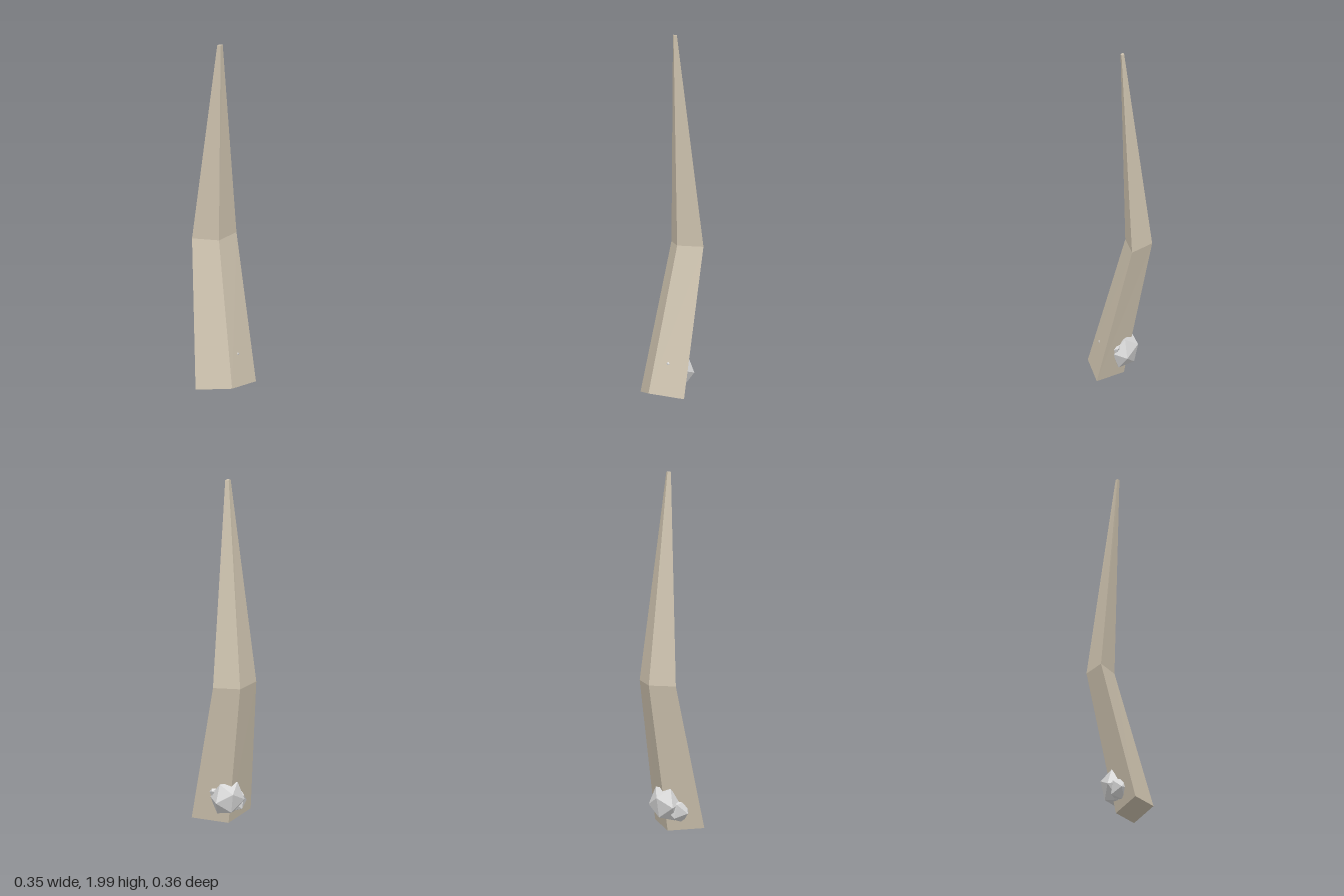
import * as THREE from 'three';

export function createModel() {
  const model = new THREE.Group();
  const ivory = new THREE.MeshStandardMaterial({ color: 0xcdc2ae, flatShading: true });
  ivory.name = 'ivory';
  const stone = new THREE.MeshStandardMaterial({ color: 0xd6d6d6, flatShading: true });
  stone.name = 'stone';

  // Diamond cross-sections of the bent spike: half width, then [y, z] of front, side and back corners
  const sections = [
    { w: 0.174, front: [0.05, 0.181], side: [0.028, 0.079], back: [0.006, -0.023] },
    { w: 0.128, front: [0.84, -0.031], side: [0.84, -0.107], back: [0.84, -0.183] },
    { w: 0.016, front: [2, -0.004], side: [2, -0.0145], back: [2, -0.025] },
  ];
  const points = [];
  for (const { w, front, side, back } of sections) {
    points.push(0, ...front, w, ...side, 0, ...back, -w, ...side);
  }
  const faces = [0, 2, 1, 0, 3, 2]; // bottom cap
  for (let ring = 0; ring < sections.length - 1; ring++) {
    for (let i = 0; i < 4; i++) {
      const a = ring * 4 + i;
      const b = ring * 4 + ((i + 1) % 4);
      faces.push(a, b, b + 4, a, b + 4, a + 4);
    }
  }
  faces.push(8, 9, 10, 8, 10, 11); // tip cap
  const indexed = new THREE.BufferGeometry();
  indexed.setAttribute('position', new THREE.Float32BufferAttribute(points, 3));
  indexed.setIndex(faces);
  const geometry = indexed.toNonIndexed();
  geometry.computeVertexNormals();
  const spike = new THREE.Mesh(geometry, ivory);
  spike.name = 'spike';
  model.add(spike);

  // Faceted stones embedded in the foot of the spike
  const stones = new THREE.Group();
  stones.name = 'stones';
  const addStone = (name, position, scale, rotation) => {
    const mesh = new THREE.Mesh(new THREE.IcosahedronGeometry(1, 0), stone);
    mesh.name = name;
    mesh.position.set(...position);
    mesh.scale.set(...scale);
    mesh.rotation.set(...rotation);
    stones.add(mesh);
  };
  addStone('mainStone', [0.01, 0.157, -0.03], [0.1, 0.108, 0.078], [-0.2, 0, 0]);
  addStone('upperStone', [0.045, 0.19, 0.035], [0.075, 0.075, 0.075], [0.2, 0.3, 0]);
  addStone('lowerStone', [-0.045, 0.125, 0.01], [0.075, 0.075, 0.075], [0, 0.5, 0.2]);
  model.add(stones);

  return model;
}
